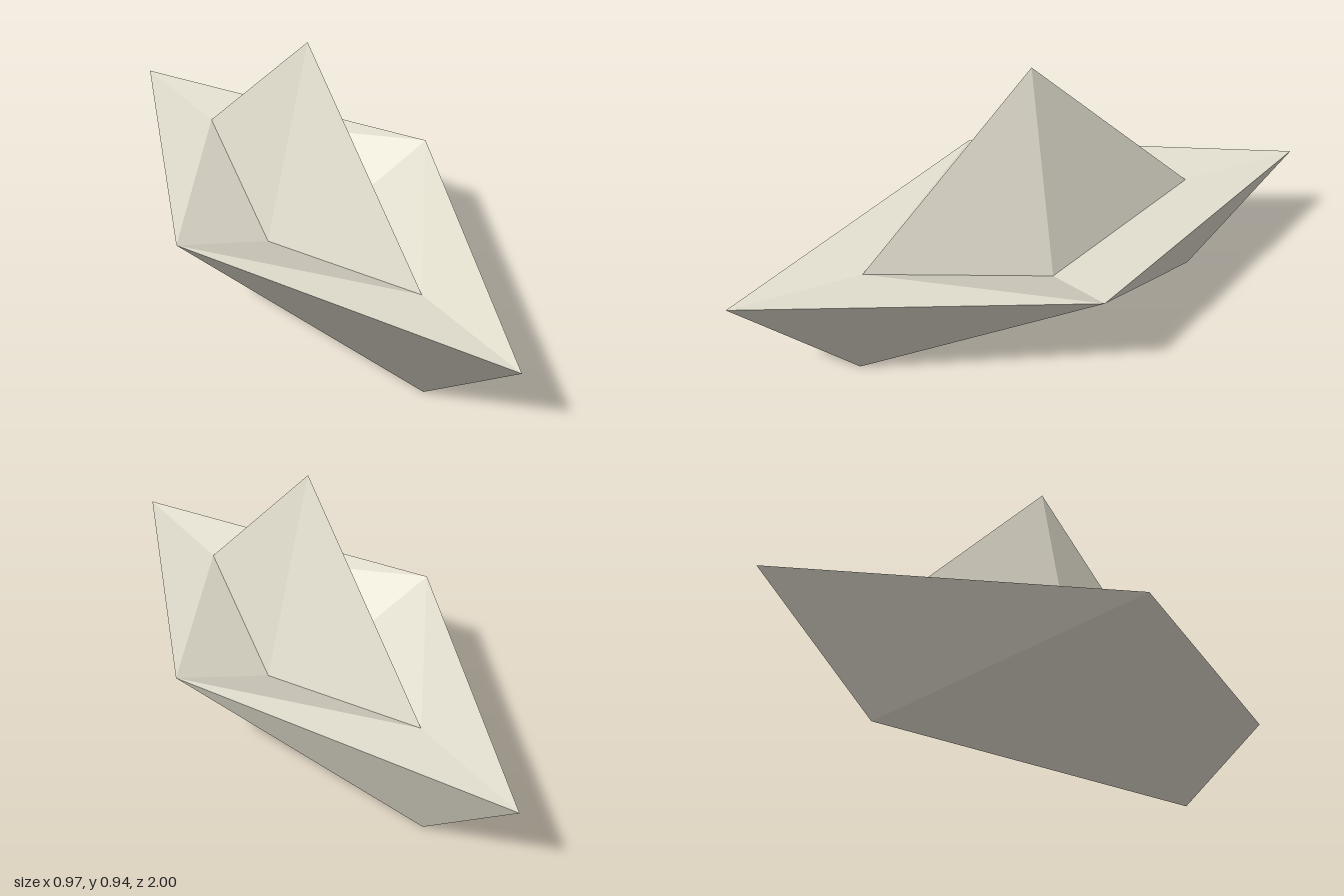
import * as THREE from 'three';

// Key fold points of the boat, given for the +x half
const P = {
  bow: [0, 0.38, 1],
  stern: [0, 0.355, -1],
  side: [0.487, 0.403, 0],
  keelFront: [0, 0, 0.61],
  keelBack: [0, 0, -0.61],
  sailFront: [0, 0.365, 0.575],
  sailBack: [0, 0.365, -0.575],
  sailSide: [0.155, 0.267, 0],
  peak: [0, 0.945, 0],
};

// Each part is a list of folded panels, counter-clockwise from outside
const PARTS = {
  hull: [['keelFront', 'keelBack', 'side', 'bow'], ['keelBack', 'stern', 'side']],
  rim: [['bow', 'side', 'sailFront'], ['side', 'stern', 'sailBack']],
  innerFold: [['side', 'sailSide', 'sailFront'], ['side', 'sailBack', 'sailSide']],
  sail: [['peak', 'sailFront', 'sailSide'], ['peak', 'sailSide', 'sailBack']],
};

// Builds the panels on both sides, with one flat normal per panel
function foldedPanels(panels) {
  const positions = [], normals = [];
  for (const sign of [1, -1]) {
    for (const panel of panels) {
      const pts = panel.map((n) => new THREE.Vector3(P[n][0] * sign, P[n][1], P[n][2]));
      if (sign < 0) pts.reverse();
      // keep the fold of the four-cornered panel on the keelFront-side diagonal
      if (sign < 0 && pts.length === 4) pts.unshift(pts.pop());
      const normal = new THREE.Vector3();
      pts.forEach((p, i) => normal.add(p.clone().cross(pts[(i + 1) % pts.length])));
      normal.normalize();
      for (let i = 1; i < pts.length - 1; i++) {
        for (const p of [pts[0], pts[i], pts[i + 1]]) {
          positions.push(p.x, p.y, p.z);
          normals.push(normal.x, normal.y, normal.z);
        }
      }
    }
  }
  const geo = new THREE.BufferGeometry();
  geo.setAttribute('position', new THREE.Float32BufferAttribute(positions, 3));
  geo.setAttribute('normal', new THREE.Float32BufferAttribute(normals, 3));
  return geo;
}

export function createModel() {
  const boat = new THREE.Group();
  boat.name = 'paperBoat';
  const paper = new THREE.MeshStandardMaterial({ color: 0xe6e2d2 });
  paper.name = 'paper';
  for (const [name, panels] of Object.entries(PARTS)) {
    const mesh = new THREE.Mesh(foldedPanels(panels), paper);
    mesh.name = name;
    boat.add(mesh);
  }
  return boat;
}
